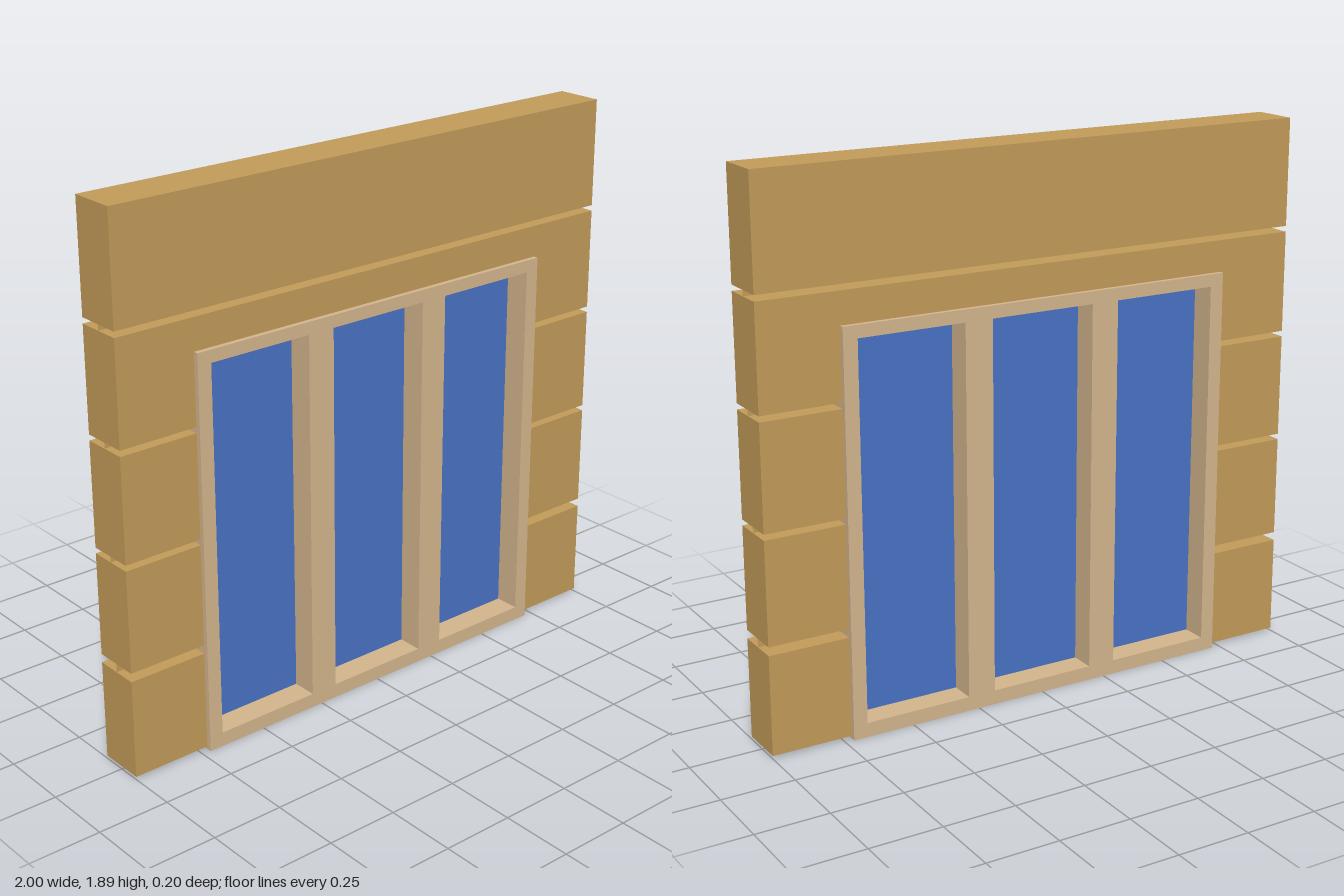
import * as THREE from 'three';

const wood = new THREE.MeshStandardMaterial({ color: 0xc19a58 });
const jointWood = new THREE.MeshStandardMaterial({ color: 0xc19a58, side: THREE.DoubleSide });
const tan = new THREE.MeshStandardMaterial({ color: 0xd2b48c });
const blue = new THREE.MeshStandardMaterial({ color: 0x4872c4 });

const HALF = 1, FRAME_X = 0.72, FRAME_TOP = 1.385;
const WALL_D = 0.165, FRAME_D = 0.2, GLASS_D = 0.02;

function add(group, name, geometry, material) {
  const mesh = new THREE.Mesh(geometry, material);
  mesh.name = name;
  group.add(mesh);
  return mesh;
}

// Box spanning x0..x1 and y0..y1, centred on z = 0
function slab(x0, x1, y0, y1, depth) {
  return new THREE.BoxGeometry(x1 - x0, y1 - y0, depth).translate((x0 + x1) / 2, (y0 + y1) / 2, 0);
}

// Flat outline extruded evenly about z = 0
function extrude(shape, depth) {
  return new THREE.ExtrudeGeometry(shape, { depth, bevelEnabled: false }).translate(0, 0, -depth / 2);
}

function polygon(points, Type = THREE.Shape) {
  return new Type(points.map(([x, y]) => new THREE.Vector2(x, y)));
}

export function createModel() {
  const model = new THREE.Group();
  model.name = 'plankWallWithWindow';

  // Wall courses, bottom to top, cut around the window
  const wall = new THREE.Group();
  wall.name = 'wall';
  model.add(wall);
  const rows = [[0.01, 0.355], [0.385, 0.74], [0.76, 1.12], [1.14, 1.495], [1.515, 1.89]];
  rows.forEach(([y0, y1], i) => {
    if (y1 < FRAME_TOP) {
      add(wall, `leftPlank${i + 1}`, slab(FRAME_X, HALF, y0, y1, WALL_D), wood);
      add(wall, `rightPlank${i + 1}`, slab(-HALF, -FRAME_X, y0, y1, WALL_D), wood);
    } else if (y0 < FRAME_TOP) {
      const lintel = polygon([
        [-HALF, y0], [-FRAME_X, y0], [-FRAME_X, FRAME_TOP], [FRAME_X, FRAME_TOP],
        [FRAME_X, y0], [HALF, y0], [HALF, y1], [-HALF, y1],
      ]);
      add(wall, 'notchedPlank', extrude(lintel, WALL_D), wood);
    } else {
      add(wall, 'topPlank', slab(-HALF, HALF, y0, y1, WALL_D), wood);
    }
  });

  // Thin sheets closing the joints between courses
  for (let i = 0; i < rows.length - 1; i++) {
    const y0 = rows[i][1], y1 = rows[i + 1][0];
    const spans = y0 > FRAME_TOP ? [[-HALF, HALF]] : [[-HALF, -FRAME_X], [FRAME_X, HALF]];
    for (const [x0, x1] of spans) {
      const sheet = new THREE.PlaneGeometry(x1 - x0, y1 - y0);
      add(wall, `joint${i + 1}`, sheet, jointWood).position.set((x0 + x1) / 2, (y0 + y1) / 2, 0);
    }
  }

  // Window frame with three openings, each holding a pane
  const frameWindow = new THREE.Group();
  frameWindow.name = 'window';
  model.add(frameWindow);
  const frame = polygon([[-FRAME_X, 0], [FRAME_X, 0], [FRAME_X, FRAME_TOP], [-FRAME_X, FRAME_TOP]]);
  const y0 = 0.05, y1 = 1.342;
  [[-0.67, -0.29], [-0.19, 0.19], [0.29, 0.67]].forEach(([x0, x1], i) => {
    frame.holes.push(polygon([[x0, y0], [x0, y1], [x1, y1], [x1, y0]], THREE.Path));
    add(frameWindow, `pane${i + 1}`, slab(x0, x1, y0, y1, GLASS_D), blue);
  });
  add(frameWindow, 'windowFrame', extrude(frame, FRAME_D), tan);

  return model;
}
